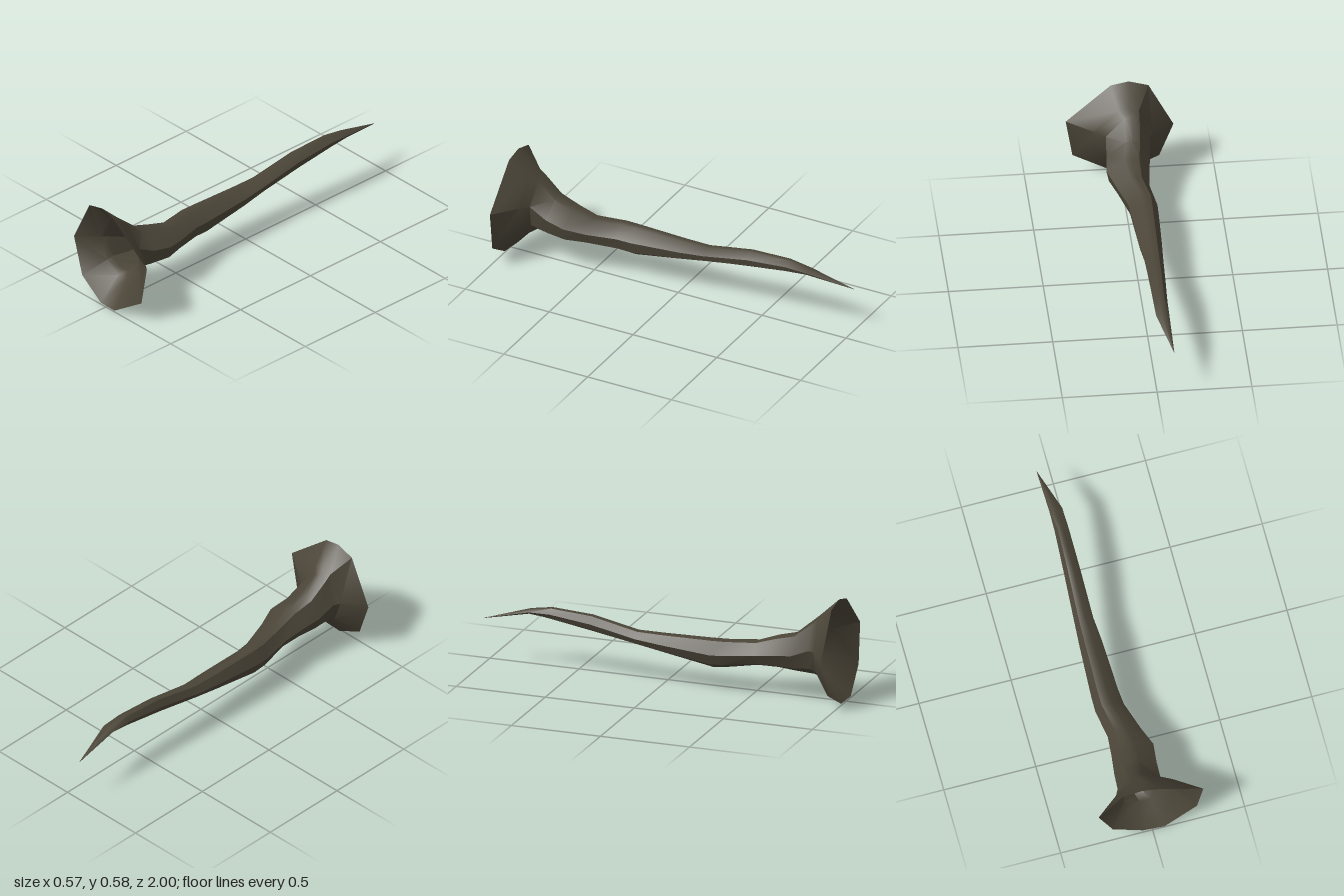
import * as THREE from 'three';
import { toCreasedNormals } from 'three/addons/utils/BufferGeometryUtils.js';

// Flared mouth outline: x, y, z
const RIM = [
  [-0.05, 0.578, 0.98], [0.045, 0.555, 0.985], [0.284, 0.348, 0.97],
  [0.248, 0.125, 0.975], [0.065, 0.008, 1.0], [-0.05, 0.001, 0.99],
  [-0.21, 0.092, 0.975], [-0.284, 0.297, 0.965], [-0.153, 0.55, 0.975],
];

// Tube sections behind the mouth: z, xMin, xMax, yMin, yMax
const SECTIONS = [
  [0.875, -0.165, 0.145, 0.13, 0.48],
  [0.84, -0.147, 0.085, 0.15, 0.45],
  [0.74, -0.138, 0.092, 0.152, 0.365],
  [0.63, -0.124, 0.104, 0.156, 0.332],
  [0.52, -0.114, 0.065, 0.158, 0.295],
  [0.36, -0.139, 0.015, 0.138, 0.292],
  [0.28, -0.138, 0.008, 0.13, 0.29],
  [0.0, -0.126, -0.004, 0.178, 0.283],
  [-0.14, -0.118, -0.016, 0.203, 0.283],
  [-0.4, -0.104, -0.016, 0.245, 0.335],
  [-0.63, -0.092, -0.017, 0.28, 0.346],
  [-0.75, -0.09, -0.02, 0.298, 0.325],
  [-1.0, -0.091, -0.089, 0.251, 0.253],
];

// Each section is the mouth outline squeezed into the section's bounds
function sectionRing([z, x0, x1, y0, y1]) {
  return RIM.map(([x, y]) => [
    THREE.MathUtils.mapLinear(x, -0.284, 0.284, x0, x1),
    THREE.MathUtils.mapLinear(y, 0.001, 0.578, y0, y1),
    z,
  ]);
}

function loft(rings) {
  const n = rings[0].length;
  const index = [];
  for (let i = 0; i < rings.length - 1; i++) {
    for (let j = 0; j < n; j++) {
      const a = i * n + j, b = i * n + (j + 1) % n;
      index.push(a, b, a + n, b, b + n, a + n);
    }
  }
  const geometry = new THREE.BufferGeometry();
  geometry.setAttribute('position', new THREE.Float32BufferAttribute(rings.flat(2), 3));
  geometry.setIndex(index);
  return toCreasedNormals(geometry, 0.6);
}

export function createModel() {
  const group = new THREE.Group();
  group.name = 'hornTunnel';
  const rock = new THREE.MeshStandardMaterial({ color: 0x4b4538, side: THREE.DoubleSide });
  rock.name = 'darkBrown';

  // Open, hollow horn tapering to a point at the back
  const horn = new THREE.Mesh(loft([RIM, ...SECTIONS.map(sectionRing)]), rock);
  horn.name = 'flaredTube';
  group.add(horn);
  return group;
}
